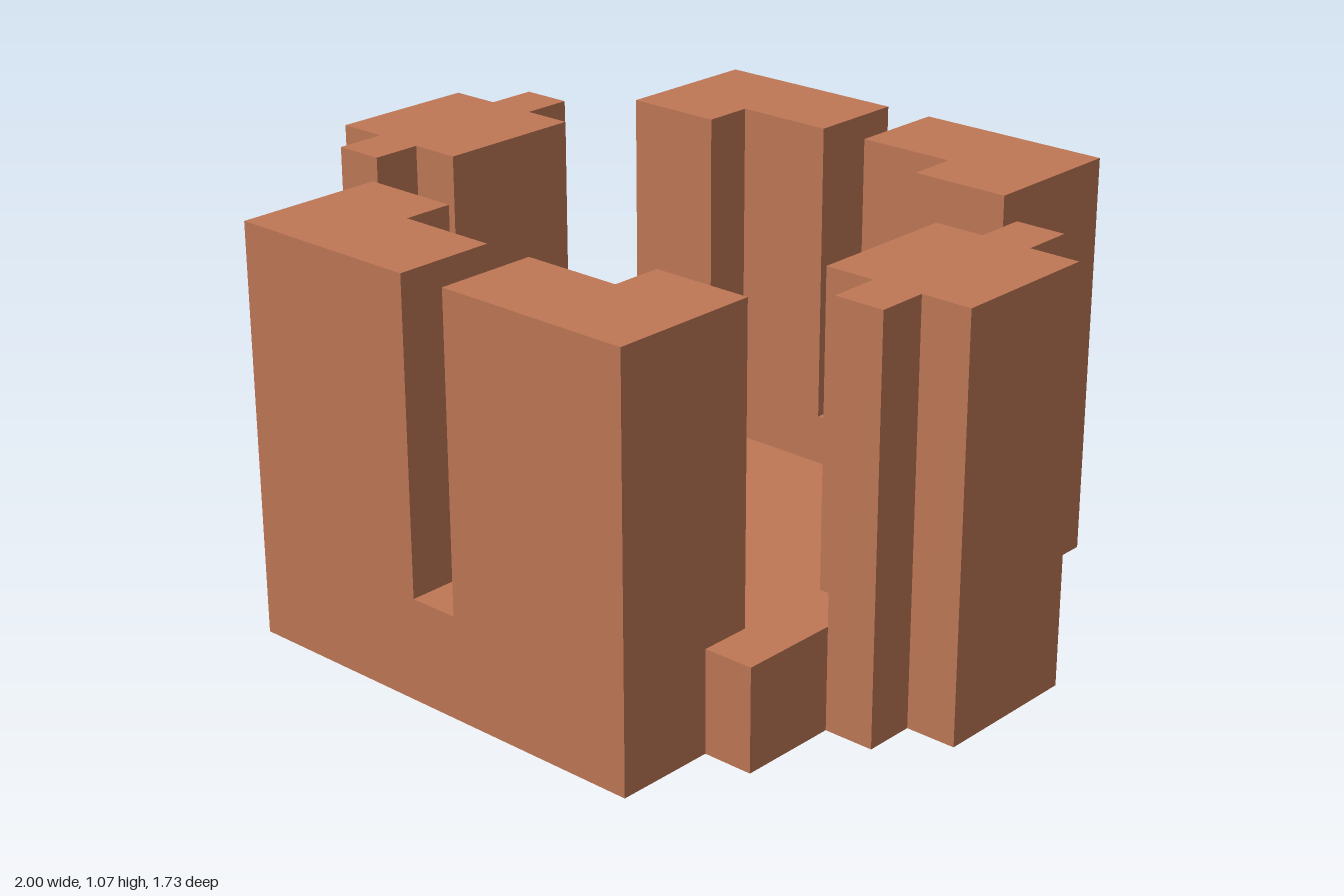
import * as THREE from 'three';
import { mergeGeometries } from 'three/addons/utils/BufferGeometryUtils.js';

const CELL = 2 / 15; // all outlines and heights below are counted in cells
const FLOOR = 1, LEDGE = 2, TOP = 8;
const NONE = null;

// Open-bottomed shell: a flat cap over an outline of [x, z, foot] points.
// foot is the height where the wall along the edge to the next point ends.
function shell(outline, height) {
  const shape = new THREE.Shape(outline.map(([x, z]) => new THREE.Vector2(x, -z)));
  const cap = new THREE.ShapeGeometry(shape).rotateX(-Math.PI / 2).translate(0, height, 0).toNonIndexed();
  cap.deleteAttribute('uv');
  const parts = [cap];

  const corners = [];
  outline.forEach(([ax, az, foot], i) => {
    if (foot === NONE) return;
    const [bx, bz] = outline[(i + 1) % outline.length];
    corners.push(
      ax, foot, az, bx, foot, bz, bx, height, bz,
      ax, foot, az, bx, height, bz, ax, height, az);
  });
  if (corners.length) {
    const walls = new THREE.BufferGeometry();
    walls.setAttribute('position', new THREE.Float32BufferAttribute(corners, 3));
    walls.computeVertexNormals();
    parts.push(walls);
  }
  return mergeGeometries(parts).scale(CELL, CELL, CELL);
}

export function createModel() {
  const model = new THREE.Group();
  model.name = 'castle';
  const clay = new THREE.MeshStandardMaterial({ color: 0xbf7856, side: THREE.DoubleSide });
  clay.name = 'clay';

  const add = (name, geometry, sx = 1, sz = 1) => {
    const mesh = new THREE.Mesh(geometry, clay);
    mesh.name = name;
    mesh.scale.set(sx, 1, sz);
    model.add(mesh);
  };

  // L-shaped corner tower
  const cornerTower = shell([
    [0.5, 4.5, LEDGE], [0.5, 6.5, 0], [4.5, 6.5, 0], [4.5, 4.5, LEDGE],
    [4.5, 3.5, LEDGE], [3.5, 3.5, FLOOR], [2.5, 3.5, FLOOR], [2.5, 4.5, FLOOR],
  ], TOP);

  // Cross-shaped side tower
  const sideTower = shell([
    [4.5, -1.5, FLOOR], [4.5, 1.5, LEDGE], [5.5, 1.5, LEDGE], [5.5, 2.5, 0],
    [6.5, 2.5, 0], [6.5, 1.5, 0], [7.5, 1.5, 0], [7.5, -1.5, 0],
    [6.5, -1.5, 0], [6.5, -2.5, 0], [5.5, -2.5, LEDGE], [5.5, -1.5, LEDGE],
  ], TOP);

  // Low ledge in the gap between corner and side towers
  const gapLedge = shell([
    [3.5, 1.5, FLOOR], [3.5, 3.5, NONE], [4.5, 3.5, NONE], [4.5, 4.5, 0],
    [5.5, 4.5, 0], [5.5, 2.5, NONE], [5.5, 1.5, NONE], [4.5, 1.5, FLOOR],
  ], LEDGE);

  // Sill of the narrow slot in the front and back walls
  const slotSill = shell([
    [-0.5, 4.5, NONE], [-0.5, 6.5, 0], [0.5, 6.5, NONE], [0.5, 4.5, FLOOR],
  ], LEDGE);

  // Stepped floor plate, one quarter mirrored all round
  const quarter = [[2.5, 4.5], [2.5, 3.5], [3.5, 3.5], [3.5, 1.5], [4.5, 1.5]];
  const half = [...quarter, ...quarter.map(([x, z]) => [x, -z]).reverse()];
  const around = [...half, ...half.map(([x, z]) => [-x, z]).reverse()];
  add('floor', shell(around.map(([x, z]) => [x, z, NONE]), FLOOR));

  for (const sx of [1, -1]) {
    const side = sx > 0 ? 'left' : 'right';
    add(`${side}SideTower`, sideTower, sx);
    for (const sz of [1, -1]) {
      const end = sz > 0 ? 'Front' : 'Back';
      add(`${side}${end}Tower`, cornerTower, sx, sz);
      add(`${side}${end}Ledge`, gapLedge, sx, sz);
    }
  }
  add('frontSlotSill', slotSill);
  add('backSlotSill', slotSill, 1, -1);

  return model;
}
